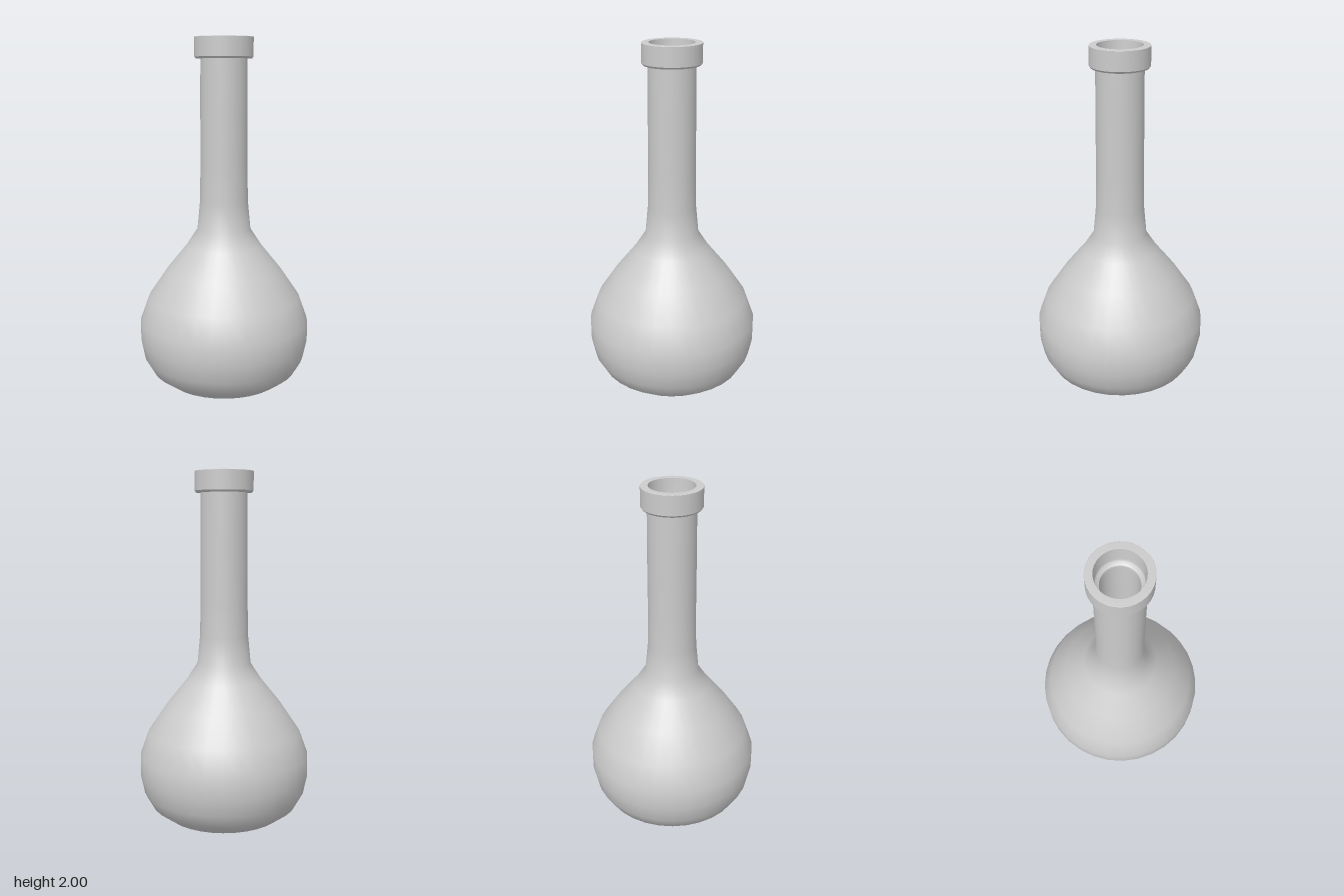
import * as THREE from 'three';

const SEGMENTS = 32;

export function createModel() {
  const flask = new THREE.Group();
  flask.name = 'flask';
  const material = new THREE.MeshStandardMaterial({ color: 0xcccccc, side: THREE.DoubleSide });

  // Each profile is smooth within itself; edges are sharp where profiles meet.
  function turned(name, profile) {
    const points = profile.map(([r, y]) => new THREE.Vector2(r, y));
    const mesh = new THREE.Mesh(new THREE.LatheGeometry(points, SEGMENTS), material);
    mesh.name = name;
    flask.add(mesh);
  }

  // Bulb and neck, outside, with a pinhole at the base
  turned('outerWall', [
    [0.008, 0.004], [0.1, 0], [0.22, 0.025], [0.33, 0.065], [0.412, 0.125],
    [0.458, 0.205], [0.479, 0.305], [0.479, 0.42], [0.43, 0.555], [0.325, 0.71],
    [0.212, 0.85], [0.15, 0.945], [0.135, 1.1], [0.131, 1.3], [0.13, 1.65], [0.128, 1.89],
  ]);

  // Collar around the mouth
  turned('collarUnderside', [[0.128, 1.885], [0.153, 1.885]]);
  turned('collarBevel', [[0.153, 1.885], [0.161, 1.895]]);
  turned('collarSide', [[0.161, 1.895], [0.161, 1.998]]);
  turned('collarTop', [[0.161, 1.998], [0.159, 2], [0.122, 2]]);
  turned('mouthBore', [[0.122, 2], [0.118, 1.91], [0.114, 1.895], [0.097, 1.885]]);

  // Inside of the neck and bulb
  turned('innerWall', [
    [0.097, 1.885], [0.094, 1.87], [0.095, 1.65], [0.097, 1.3], [0.102, 1.1],
    [0.12, 0.93], [0.182, 0.835], [0.295, 0.692], [0.398, 0.54], [0.444, 0.415],
    [0.444, 0.31], [0.425, 0.22], [0.385, 0.15], [0.315, 0.097], [0.215, 0.06],
    [0.1, 0.036], [0.008, 0.032],
  ]);
  turned('pinhole', [[0.008, 0.032], [0.008, 0.004]]);

  return flask;
}
